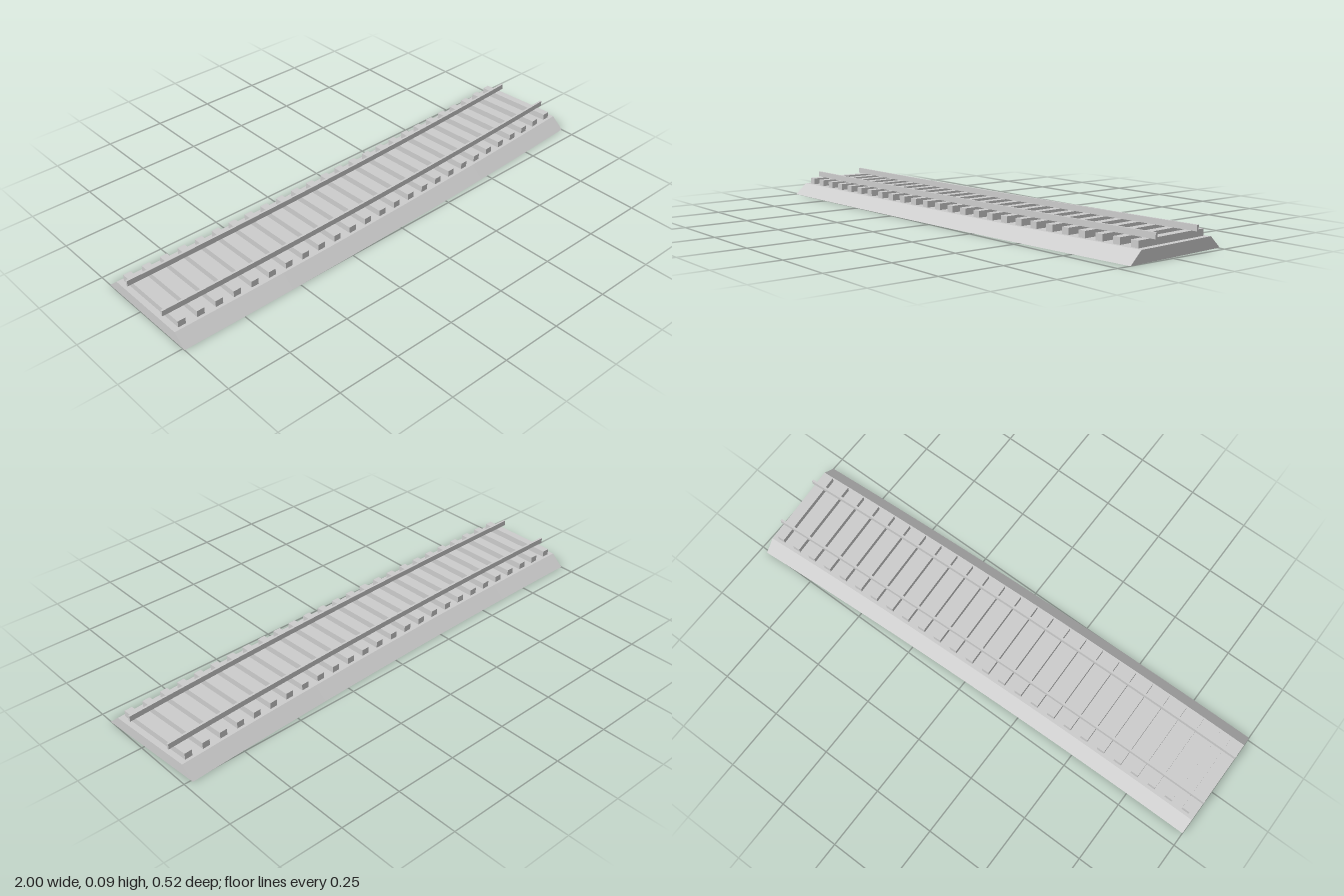
import * as THREE from 'three';

// Gentle arc followed by the whole track: starts along +x and bends towards -z
const RADIUS = 30.3, ANGLE = 0.0656, START_Z = 0.0325, SLEEPERS = 26;

function arcPoint(side, y, t) {
  const a = ANGLE * t, r = RADIUS + side;
  return new THREE.Vector3(-1 + r * Math.sin(a), y, START_Z - RADIUS + r * Math.cos(a));
}

// Extrude a closed cross-section [side, y], then bend it along the arc
function sweep(name, section, material) {
  const shape = new THREE.Shape(section.map(([side, y]) => new THREE.Vector2(-side, y)));
  const geo = new THREE.ExtrudeGeometry(shape, { depth: 1, steps: SLEEPERS, bevelEnabled: false });
  const pos = geo.attributes.position;
  for (let i = 0; i < pos.count; i++) {
    const p = arcPoint(-pos.getX(i), pos.getY(i), pos.getZ(i));
    pos.setXYZ(i, p.x, p.y, p.z);
  }
  geo.computeVertexNormals();
  const mesh = new THREE.Mesh(geo, material);
  mesh.name = name;
  return mesh;
}

export function createModel() {
  const grey = new THREE.MeshStandardMaterial({ color: 0xcccccc });
  grey.name = 'light grey';
  const group = new THREE.Group();
  group.name = 'curvedTrack';

  // Sloped gravel bed
  group.add(sweep('ballast', [[-0.2275, 0], [0.2275, 0], [0.177, 0.045], [-0.177, 0.045]], grey));

  // Pair of rails
  for (const [name, c] of [['outerRail', 0.1055], ['innerRail', -0.1055]]) {
    const w = 0.0042;
    group.add(sweep(name, [[c - w, 0.07], [c + w, 0.07], [c + w, 0.092], [c - w, 0.092]], grey));
  }

  // Sleepers, evenly spaced and square to the arc
  const sleepers = new THREE.Group();
  sleepers.name = 'sleepers';
  const sleeperGeo = new THREE.BoxGeometry(0.031, 0.025, 0.33);
  for (let i = 0; i < SLEEPERS; i++) {
    const t = (i + 0.5) / SLEEPERS;
    const sleeper = new THREE.Mesh(sleeperGeo, grey);
    sleeper.name = 'sleeper';
    sleeper.position.copy(arcPoint(0, 0.0575, t));
    sleeper.rotation.y = ANGLE * t;
    sleepers.add(sleeper);
  }
  group.add(sleepers);
  return group;
}
